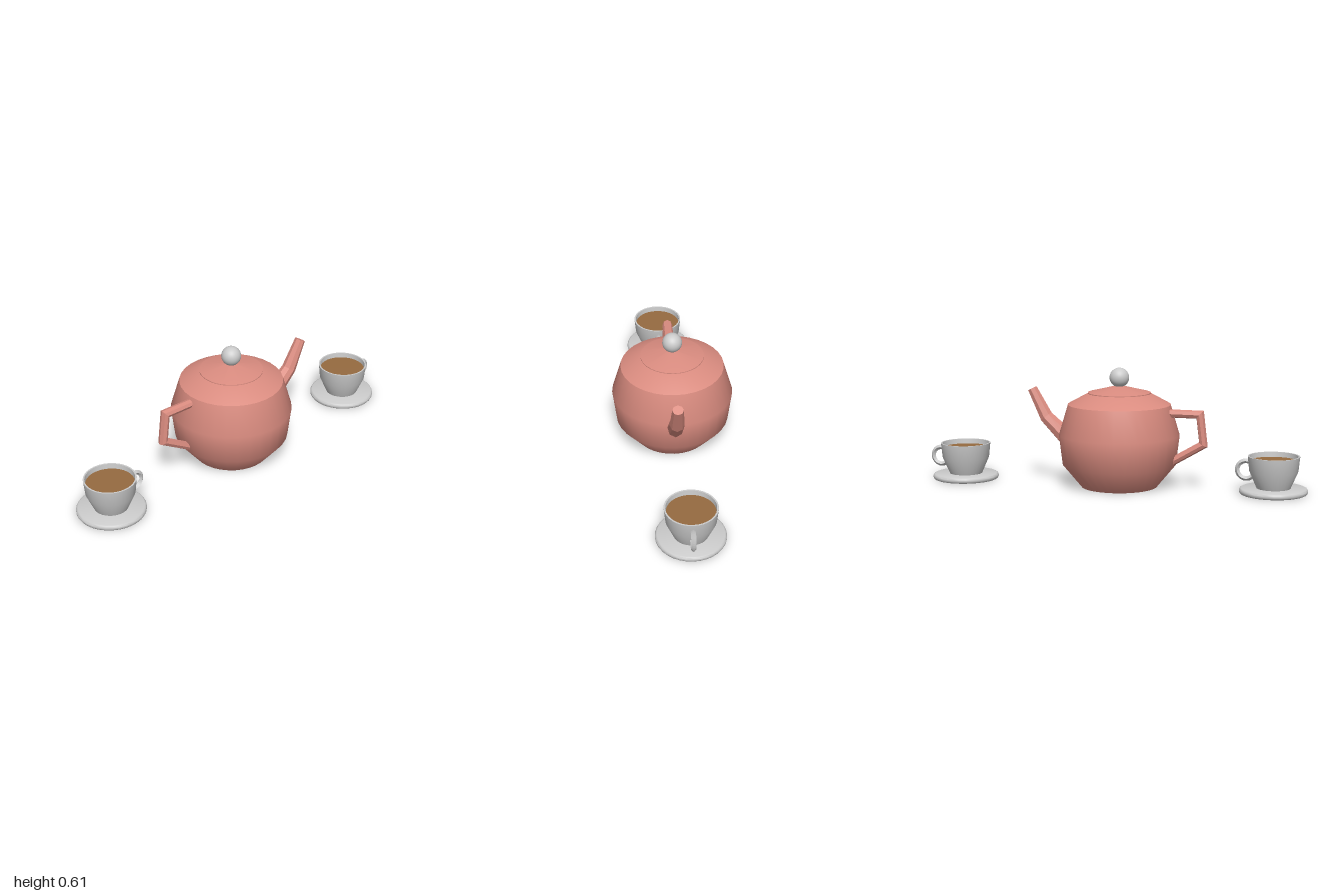
import * as THREE from 'three';
import { toCreasedNormals } from 'three/addons/utils/BufferGeometryUtils.js';

const grey = new THREE.MeshStandardMaterial({ color: 0xcccccc, side: THREE.DoubleSide });
const greyFlat = new THREE.MeshStandardMaterial({ color: 0xcccccc, flatShading: true });
const pink = new THREE.MeshStandardMaterial({ color: 0xda8c80 });
const pinkFlat = new THREE.MeshStandardMaterial({ color: 0xda8c80, flatShading: true });
const brown = new THREE.MeshStandardMaterial({ color: 0x966b40 });

function add(parent, name, geometry, material, x = 0, y = 0, z = 0) {
  const mesh = new THREE.Mesh(geometry, material);
  mesh.name = name;
  mesh.position.set(x, y, z);
  parent.add(mesh);
  return mesh;
}

// Turned solid from [radius, height] pairs, listed bottom to top
function turned(profile, crease = 0.63, segments = 32) {
  const points = profile.map(([r, y]) => new THREE.Vector2(r, y));
  return toCreasedNormals(new THREE.LatheGeometry(points, segments), crease);
}

// Mitred eight-sided tube along stations [x, y, radius in the xy plane, radius in z]
function sweep(stations, sides = 8) {
  const pts = stations.map(([x, y]) => new THREE.Vector2(x, y));
  const pos = [], index = [];
  const last = pts.length - 1;
  pts.forEach((p, i) => {
    const before = p.clone().sub(pts[Math.max(i - 1, 0)]).normalize();
    const after = pts[Math.min(i + 1, last)].clone().sub(p).normalize();
    const t = before.clone().add(after).normalize();
    const miter = 1 / t.dot(i === 0 ? after : before);
    const [, , r, rz] = stations[i];
    for (let j = 0; j < sides; j++) {
      const a = (j / sides) * Math.PI * 2;
      const d = Math.cos(a) * r * miter;
      pos.push(p.x - t.y * d, p.y + t.x * d, Math.sin(a) * rz);
    }
  });
  for (let i = 0; i < last; i++) {
    for (let j = 0; j < sides; j++) {
      const a = i * sides + j, b = i * sides + (j + 1) % sides;
      index.push(a, b, b + sides, a, b + sides, a + sides);
    }
  }
  // End caps
  for (let j = 1; j < sides - 1; j++) {
    const e = last * sides;
    index.push(0, j + 1, j, e, e + j, e + j + 1);
  }
  const g = new THREE.BufferGeometry();
  g.setAttribute('position', new THREE.Float32BufferAttribute(pos, 3));
  g.setIndex(index);
  g.computeVertexNormals();
  return g;
}

function createTeapot() {
  const pot = new THREE.Group();
  pot.name = 'teapot';
  add(pot, 'potBody', turned([
    [0, 0.003], [0.195, 0.003], [0.29, 0.117], [0.309, 0.272],
    [0.263, 0.427], [0.158, 0.484], [0, 0.484],
  ]), pink);
  add(pot, 'lid', turned([[0, 0.483], [0.161, 0.483], [0.161, 0.487], [0.025, 0.52], [0, 0.52]]), pink);
  add(pot, 'lidKnob', new THREE.SphereGeometry(0.05, 32, 20), grey, 0, 0.563, 0);
  add(pot, 'spout', sweep([
    [0.255, 0.215, 0.048, 0.045], [0.395, 0.345, 0.036, 0.037], [0.471, 0.49, 0.026, 0.028],
  ]), pinkFlat);
  add(pot, 'potHandle', sweep([
    [-0.24, 0.39], [-0.423, 0.39], [-0.441, 0.239], [-0.24, 0.12],
  ].map(([x, y]) => [x, y, 0.021, 0.026])), pinkFlat);
  return pot;
}

function createCup() {
  const set = new THREE.Group();
  add(set, 'saucer', turned([
    [0, 0.003], [0.162, 0.003], [0.168, 0.006], [0.172, 0.013],
    [0.172, 0.022], [0.168, 0.029], [0.162, 0.032], [0, 0.032],
  ]), grey);
  // Outer wall, rim and inner wall
  add(set, 'cup', turned([
    [0, 0.031], [0.085, 0.031], [0.122, 0.117], [0.13, 0.193],
    [0.122, 0.193], [0.115, 0.12], [0, 0.11],
  ]), grey);
  add(set, 'coffee', new THREE.CircleGeometry(0.12, 32).rotateX(-Math.PI / 2), brown, 0, 0.168, 0);
  // Open ring whose ends sit in the cup wall
  const ring = new THREE.TorusGeometry(0.045, 0.012, 4, 20, 4.3).rotateZ(-2.4);
  add(set, 'cupHandle', ring, greyFlat, 0.14, 0.117, 0);
  return set;
}

export function createModel() {
  const model = new THREE.Group();
  model.name = 'teaSet';
  const pot = createTeapot();
  pot.position.x = -0.035;
  model.add(pot);
  [['cupRight', -0.828, 0.036], ['cupLeft', 0.8, -0.039]].forEach(([name, x, z]) => {
    const cup = createCup();
    cup.name = name;
    cup.position.set(x, 0, z);
    model.add(cup);
  });
  return model;
}
